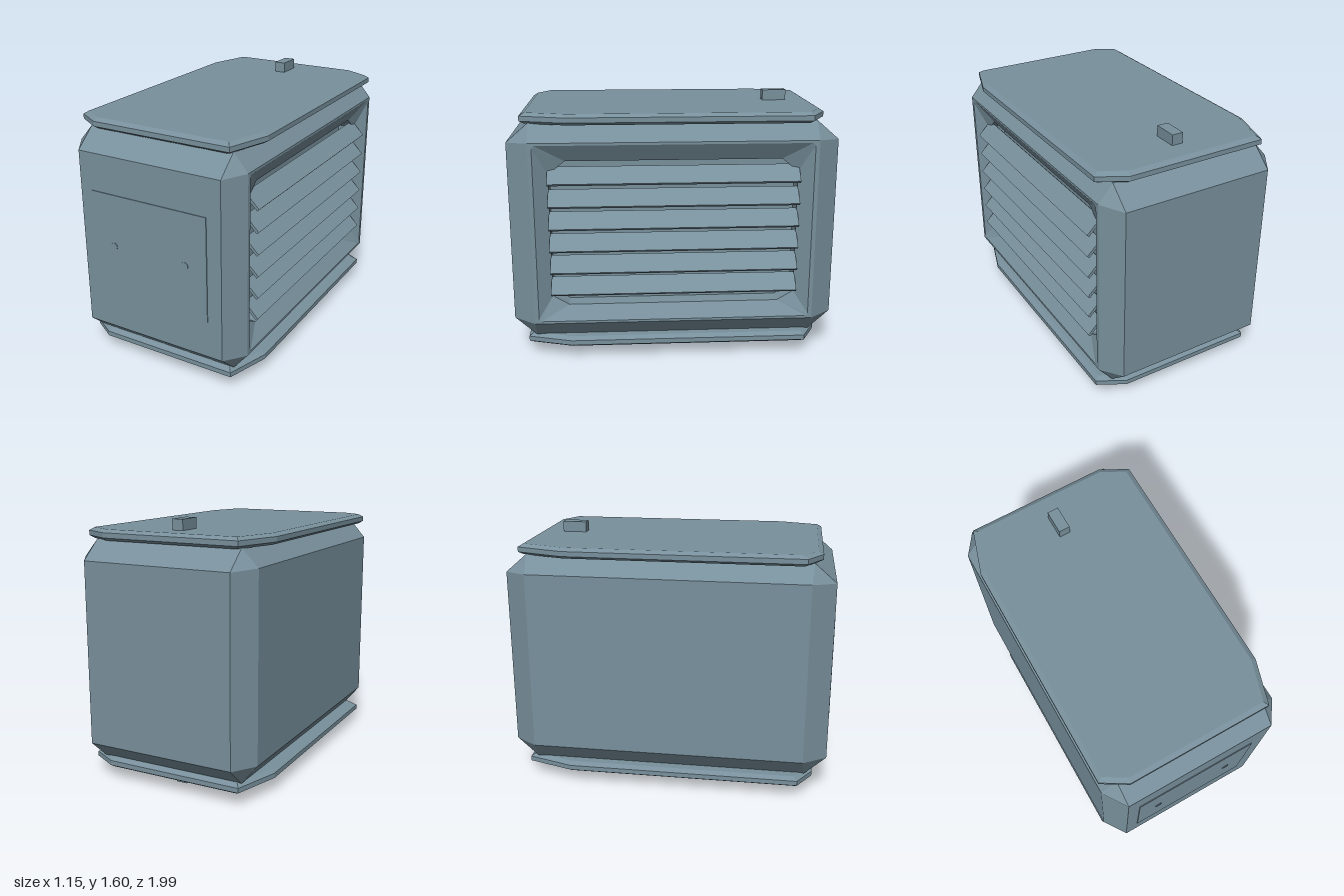
import * as THREE from 'three';

const metal = new THREE.MeshStandardMaterial({ color: 0x78909c });
metal.name = 'blueGreyMetal';

function add(group, name, geometry, x = 0, y = 0, z = 0) {
  const mesh = new THREE.Mesh(geometry, metal);
  mesh.name = name;
  mesh.position.set(x, y, z);
  group.add(mesh);
  return mesh;
}

// Eight-sided loop in the z-y plane: full half length, shortened half length, full and shortened heights
function loop(x, z, zIn, y0, y0In, y1In, y1) {
  return [[-z, y0In], [-z, y1In], [-zIn, y1], [zIn, y1], [z, y1In], [z, y0In], [zIn, y0], [-zIn, y0]]
    .map(([pz, py]) => [x, py, pz]);
}

// Flat-faced loft through loops, closed at both ends
function loft(loops) {
  const p = [];
  const tri = (a, b, c) => p.push(...a, ...b, ...c);
  const n = loops[0].length;
  for (let i = 0; i < loops.length - 1; i++) {
    for (let j = 0; j < n; j++) {
      const k = (j + 1) % n, a = loops[i], b = loops[i + 1];
      tri(a[j], a[k], b[j]);
      tri(a[k], b[k], b[j]);
    }
  }
  const first = loops[0], last = loops[loops.length - 1];
  for (let j = 1; j < n - 1; j++) {
    tri(first[0], first[j + 1], first[j]);
    tri(last[0], last[j], last[j + 1]);
  }
  const g = new THREE.BufferGeometry();
  g.setAttribute('position', new THREE.Float32BufferAttribute(p, 3));
  g.computeVertexNormals();
  return g;
}

// Thin cover plate with unevenly clipped corners and a small bevel
function plateGeometry() {
  const outline = [[-0.57, 0.82], [-0.42, 0.91], [0.48, 0.91], [0.565, 0.64],
    [0.565, -0.82], [0.4, -0.91], [-0.48, -0.91], [-0.57, -0.62]];
  const shape = new THREE.Shape(outline.map(([x, z]) => new THREE.Vector2(x, -z)));
  const g = new THREE.ExtrudeGeometry(shape, {
    depth: 0.03, bevelEnabled: true, bevelThickness: 0.018,
    bevelSize: 0.03, bevelOffset: -0.03, bevelSegments: 1,
  });
  g.translate(0, 0, -0.015);
  g.rotateX(-Math.PI / 2);
  return g;
}

export function createModel() {
  const model = new THREE.Group();
  model.name = 'ventilationUnit';

  // Chamfered housing with a recessed opening in the +x side
  add(model, 'housing', loft([
    loop(-0.572, 0.85, 0.85, 0.25, 0.25, 1.37, 1.37),
    loop(-0.475, 0.993, 0.86, 0.13, 0.25, 1.36, 1.475),
    loop(0.475, 0.993, 0.86, 0.13, 0.25, 1.36, 1.475),
    loop(0.565, 0.86, 0.86, 0.24, 0.24, 1.37, 1.37),
    loop(0.565, 0.835, 0.82, 0.255, 0.27, 1.34, 1.355),
    loop(0.5, 0.75, 0.65, 0.34, 0.4, 1.17, 1.25),
    loop(0.39, 0.75, 0.65, 0.34, 0.4, 1.17, 1.25),
  ]));

  // Cover plates and the pegs on them
  for (const [side, y, pegY] of [['top', 1.502, 1.55], ['bottom', 0.107, 0.05]]) {
    add(model, side + 'Plate', plateGeometry(), 0, y, 0);
    add(model, side + 'Peg', new THREE.BoxGeometry(0.07, 0.1, 0.15), -0.008, pegY, -0.675);
  }

  // Sloping louvres, outer edge low
  const slat = new THREE.BoxGeometry(0.125, 0.018, 1.51);
  for (let i = 0; i < 6; i++) {
    add(model, 'louvre', slat, 0.525, 0.472 + i * 0.1385, 0).rotation.z = -Math.PI / 4;
  }

  // Front access panel with two round fasteners
  add(model, 'accessPanel', new THREE.BoxGeometry(0.78, 0.65, 0.02), -0.007, 0.804, 0.988);
  for (const x of [-0.253, 0.239]) {
    const bolt = new THREE.CylinderGeometry(0.023, 0.023, 0.012, 16);
    bolt.rotateX(Math.PI / 2);
    add(model, 'fastener', bolt, x, 0.803, 0.996);
  }
  return model;
}
